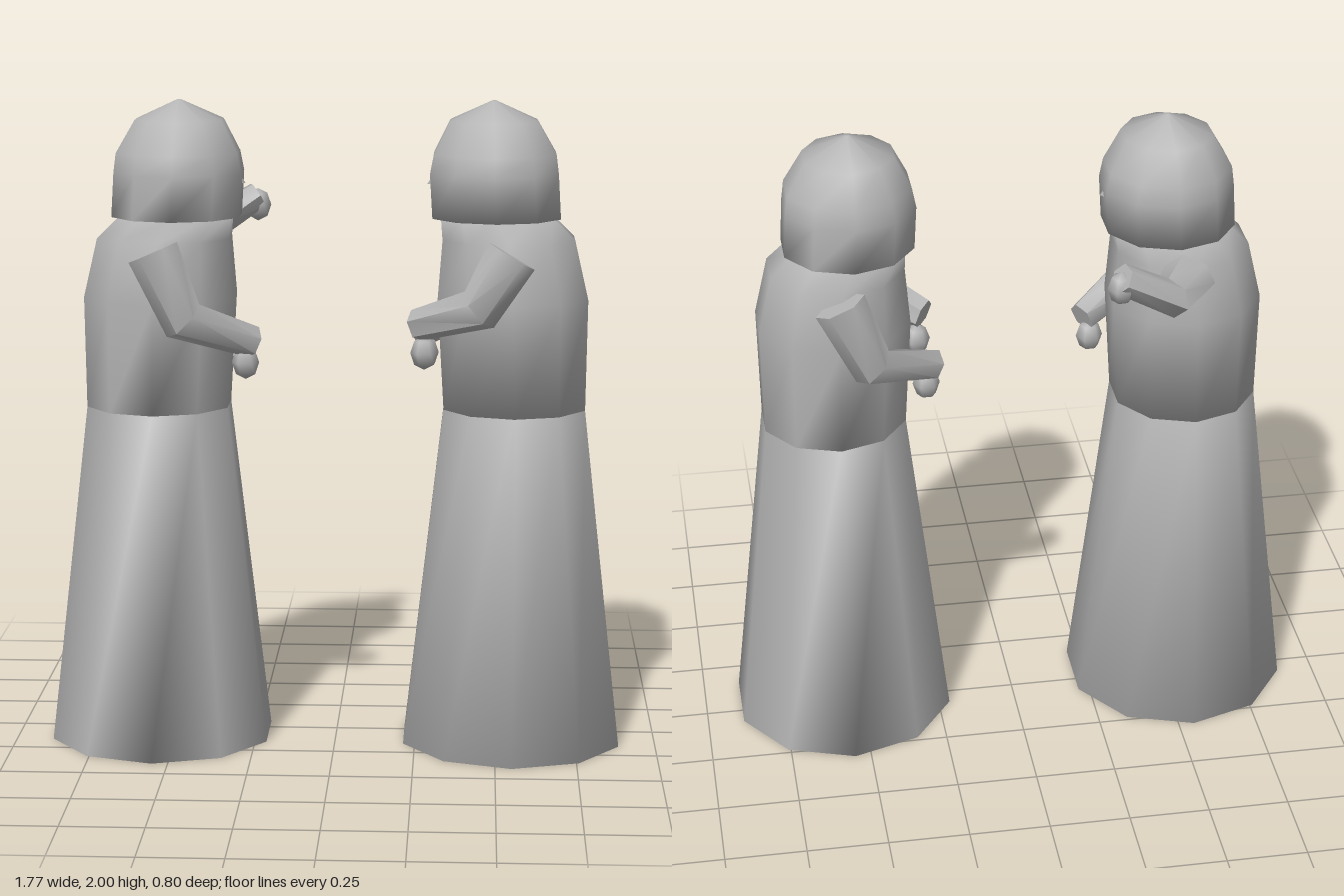
import * as THREE from 'three';
import { toCreasedNormals } from 'three/addons/utils/BufferGeometryUtils.js';

const clay = new THREE.MeshStandardMaterial({ color: 0xb4b4b4 });
clay.name = 'grey clay';

// Closed skin over rings of equal length
function skin(rings) {
  const n = rings[0].length, index = [];
  for (let i = 0; i < rings.length - 1; i++) {
    for (let j = 0; j < n; j++) {
      const a = i * n + j, b = i * n + (j + 1) % n, c = a + n, d = b + n;
      index.push(a, c, b, b, c, d);
    }
  }
  const top = (rings.length - 1) * n;
  for (let j = 1; j < n - 1; j++) index.push(0, j, j + 1, top, top + j + 1, top + j);
  const g = new THREE.BufferGeometry();
  g.setAttribute('position', new THREE.Float32BufferAttribute(rings.flat().flatMap((p) => p.toArray()), 3));
  g.setIndex(index);
  g.computeVertexNormals();
  return g;
}

function part(name, geometry) {
  const m = new THREE.Mesh(geometry, clay);
  m.name = name;
  return m;
}

// Upright ten-sided body from [centre x, y, radius x, radius z]
function body(name, sections) {
  return part(name, skin(sections.map(([cx, y, rx, rz]) =>
    Array.from({ length: 10 }, (_, j) => {
      const a = Math.PI / 2 + (j / 10) * Math.PI * 2;
      return new THREE.Vector3(cx + rx * Math.cos(a), y, rz * Math.sin(a));
    }))));
}

// Flattened six-sided sleeve bent at the elbow, with a small fist
function arm(name, path, hand, out) {
  const pts = path.map((p) => new THREE.Vector3(...p));
  const wide = [0.08, 0.07, 0.05], deep = [0.05, 0.05, 0.042];
  const rings = pts.map((p, i) => {
    const before = pts[Math.max(i - 1, 0)], after = pts[Math.min(i + 1, 2)];
    const t = after.clone().sub(before).normalize();
    const v = new THREE.Vector3(...out);
    v.addScaledVector(t, -v.dot(t)).normalize();
    const u = t.clone().cross(v);
    return Array.from({ length: 6 }, (_, j) => {
      const a = (j / 6) * Math.PI * 2;
      return p.clone().addScaledVector(u, wide[i] * Math.cos(a)).addScaledVector(v, deep[i] * 1.1 * Math.sin(a));
    });
  });
  const g = new THREE.Group();
  g.name = name;
  g.add(part('sleeve', toCreasedNormals(skin(rings), 1.0)));
  const fist = part('fist', new THREE.SphereGeometry(1, 6, 4));
  fist.scale.set(0.042, 0.052, 0.042);
  fist.position.set(...hand);
  g.add(fist);
  return g;
}

// One robed figure facing +x
function figure(name) {
  const g = new THREE.Group();
  g.name = name;
  g.add(body('skirt', [[0, 0, 0.353, 0.353], [0, 1.058, 0.228, 0.228]]));
  g.add(body('torso', [[0, 1.055, 0.228, 0.228], [0.008, 1.4, 0.241, 0.24],
    [0.022, 1.58, 0.212, 0.22], [0.06, 1.65, 0.178, 0.175]]));
  g.add(body('hood', [[0.06, 1.645, 0.205, 0.205], [0.068, 1.78, 0.205, 0.2],
    [0.066, 1.84, 0.195, 0.195], [0.07, 1.94, 0.139, 0.145], [0.07, 2, 0.006, 0.006]]));
  // small wedge on the face
  const nose = part('nose', new THREE.ConeGeometry(0.04, 0.06, 4));
  nose.position.set(0.232, 1.775, 0);
  g.add(nose);
  g.add(arm('nearArm', [[0.01, 1.56, 0.235], [0.1, 1.355, 0.245], [0.3, 1.27, 0.11]],
    [0.277, 1.207, 0.11], [0, 0, 1]));
  return g;
}

export function createModel() {
  const model = new THREE.Group();
  model.name = 'two robed figures';

  const first = figure('gesturingFigure');
  first.position.set(-0.55, 0, 0.05);
  first.add(arm('raisedArm', [[0.03, 1.57, -0.21], [0.12, 1.565, -0.35], [0.28, 1.665, -0.395]],
    [0.28, 1.635, -0.395], [-0.3, 1, 0]));

  const second = figure('listeningFigure');
  second.position.set(0.55, 0, 0.05);
  second.rotation.y = Math.PI;
  second.add(arm('foldedArm', [[0.015, 1.555, -0.235], [0.11, 1.395, -0.245], [0.3, 1.325, -0.11]],
    [0.277, 1.24, -0.11], [0, 0, -1]));

  model.add(first, second);
  return model;
}
